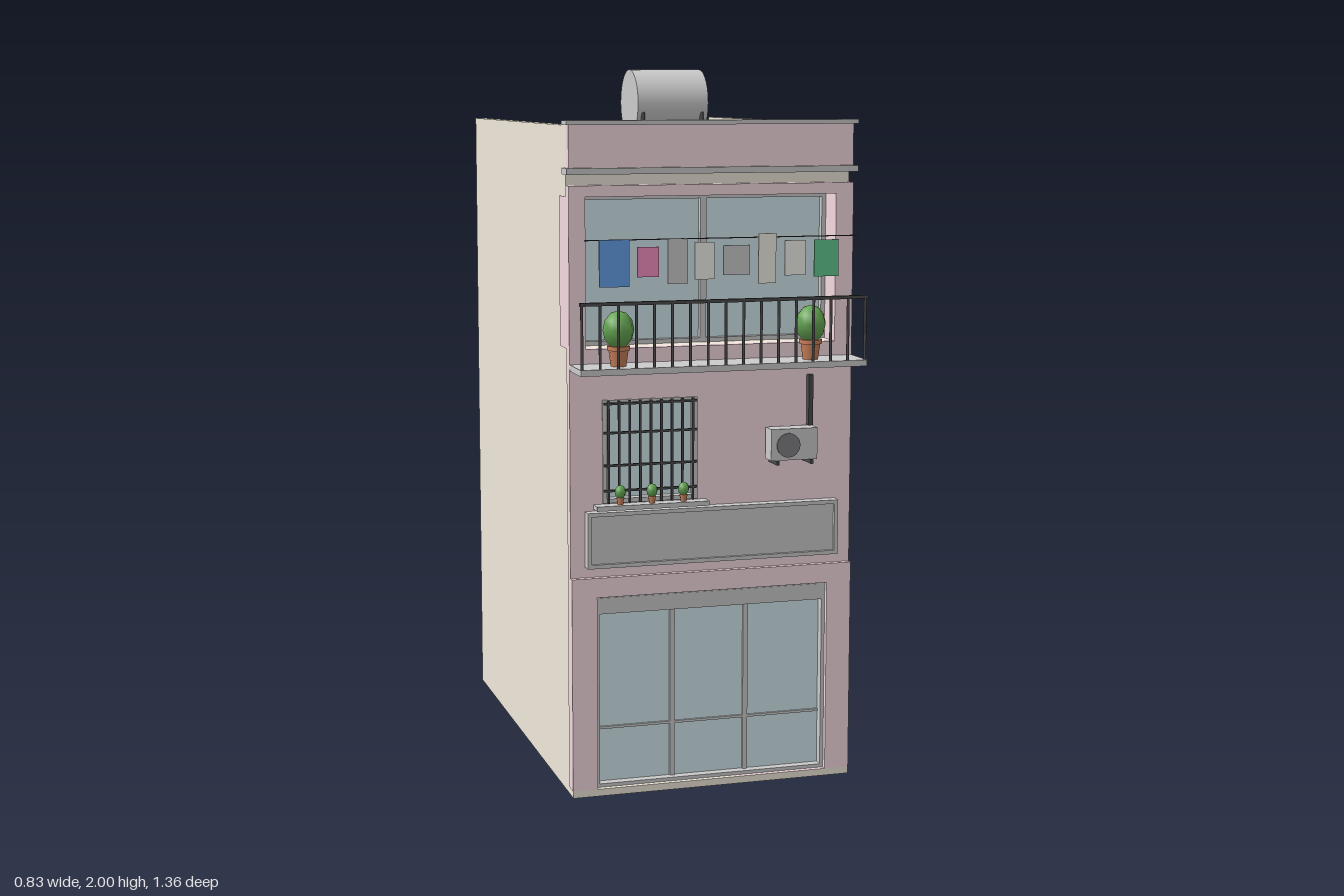
import * as THREE from 'three';

const mat = (color) => new THREE.MeshStandardMaterial({ color });
const GREY = mat(0xcccccc), DARK = mat(0x4a4a4c), BEIGE = mat(0xf0e8da), PINK = mat(0xf5dae0);
const GLASS = mat(0xd2e6ec), CLAY = mat(0xc9805a), LEAF = mat(0x64a552), FRAME = mat(0xbdbdbd);

export function createModel() {
  const root = new THREE.Group();
  root.name = 'townhouse';

  const add = (name, geo, material, x = 0, y = 0, z = 0, parent = root) => {
    const m = new THREE.Mesh(geo, material);
    m.name = name;
    m.position.set(x, y, z);
    parent.add(m);
    return m;
  };
  // Box given by its limits on each axis
  const box = (name, material, x0, x1, y0, y1, z0, z1, parent = root) =>
    add(name, new THREE.BoxGeometry(x1 - x0, y1 - y0, z1 - z0), material,
      (x0 + x1) / 2, (y0 + y1) / 2, (z0 + z1) / 2, parent);
  // Rectangular wall or frame with rectangular holes, each [x0, x1, y0, y1]
  const panel = (name, material, outer, holes, z0, z1) => {
    const trace = (p, [x0, x1, y0, y1]) =>
      p.moveTo(x0, y0).lineTo(x1, y0).lineTo(x1, y1).lineTo(x0, y1).closePath();
    const shape = trace(new THREE.Shape(), outer);
    shape.holes = holes.map((h) => trace(new THREE.Path(), h));
    return add(name, new THREE.ExtrudeGeometry(shape, { depth: z1 - z0, bevelEnabled: false }), material, 0, 0, z0);
  };
  const rim = ([x0, x1, y0, y1], t) => [x0 + t, x1 - t, y0 + t, y1 - t];

  // Main volume, set back behind the upper window
  box('lowerBody', BEIGE, -0.405, 0.405, 0, 1.25, -0.68, 0.53);
  box('upperBody', BEIGE, -0.405, 0.405, 1.25, 1.66, -0.68, 0.455);
  box('topBody', BEIGE, -0.405, 0.405, 1.66, 1.72, -0.68, 0.525);
  box('roofSlab', GREY, -0.376, 0.376, 1.72, 1.745, -0.682, 0.526);
  for (const s of [-1, 1]) {
    const a = s * 0.375, b = s * 0.405;
    box('sideParapet', BEIGE, Math.min(a, b), Math.max(a, b), 1.72, 1.85, -0.68, 0.53);
  }

  // Street front in pink plaster
  const door = [-0.335, 0.335, 0.02, 0.565];
  const barred = [-0.315, -0.045, 0.825, 1.11];
  const upper = [-0.36, 0.355, 1.25, 1.66];
  panel('groundFront', PINK, [-0.406, 0.406, 0.02, 0.62], [door], 0.529, 0.575);
  panel('middleFront', PINK, [-0.406, 0.406, 0.62, 1.25], [barred], 0.529, 0.56);
  panel('upperFront', PINK, [-0.406, 0.406, 1.25, 1.69], [upper], 0.529, 0.56);
  box('leftReveal', PINK, 0.355, 0.406, 1.25, 1.66, 0.454, 0.53);
  box('rightReveal', PINK, -0.406, -0.36, 1.25, 1.66, 0.454, 0.53);
  box('frontParapet', PINK, -0.405, 0.405, 1.735, 1.853, 0.526, 0.558);
  box('doorstep', BEIGE, -0.405, 0.405, 0, 0.02, 0.52, 0.575);
  box('lowerCornice', GREY, -0.414, 0.414, 1.72, 1.737, 0.515, 0.575);
  box('upperCornice', GREY, -0.414, 0.414, 1.851, 1.863, 0.515, 0.572);

  // Shop front
  box('shopGlass', GLASS, -0.33, 0.33, 0.02, 0.53, 0.528, 0.534);
  panel('shopFrame', FRAME, door, [rim(door, 0.01)], 0.53, 0.56);
  box('shutterBox', GREY, -0.325, 0.325, 0.515, 0.56, 0.53, 0.562);
  for (const x of [-0.11, 0.105]) box('shopMullion', FRAME, x - 0.007, x + 0.007, 0.02, 0.515, 0.53, 0.541);
  box('shopCrossbar', FRAME, -0.325, 0.325, 0.181, 0.188, 0.53, 0.54);

  // Blank sign board with raised rim
  const sign = [-0.365, 0.36, 0.65, 0.805];
  box('signBoard', GREY, ...sign, 0.558, 0.583);
  panel('signRim', GREY, sign, [rim(sign, 0.011)], 0.575, 0.592);

  // Upper window
  box('upperGlass', GLASS, -0.36, 0.355, 1.25, 1.66, 0.454, 0.461);
  panel('upperWindowFrame', FRAME, upper, [rim(upper, 0.012)], 0.457, 0.48);
  box('upperMullion', FRAME, -0.012, 0.006, 1.25, 1.66, 0.457, 0.477);

  // Barred window
  box('barredGlass', GLASS, ...barred, 0.528, 0.536);
  panel('barredFrame', FRAME, barred, [rim(barred, 0.012)], 0.53, 0.564);
  for (let i = 0; i < 9; i++) {
    const x = -0.3 + i * 0.03;
    box('windowBar', DARK, x - 0.003, x + 0.003, 0.825, 1.108, 0.566, 0.572);
  }
  for (const y of [0.86, 0.93, 1.02, 1.1])
    box('windowCrossbar', DARK, -0.312, -0.048, y - 0.003, y + 0.003, 0.564, 0.572);
  box('windowSill', GREY, -0.34, -0.02, 0.81, 0.823, 0.55, 0.597);

  // Potted plants: tapered pot with rim, and a rounded bush
  const plant = (x, y, z, s) => {
    const g = new THREE.Group();
    g.name = 'pottedPlant';
    g.position.set(x, y, z);
    g.scale.setScalar(s);
    root.add(g);
    add('pot', new THREE.CylinderGeometry(0.028, 0.021, 0.05, 10), CLAY, 0, 0.025, 0, g);
    add('potRim', new THREE.CylinderGeometry(0.031, 0.031, 0.012, 10), CLAY, 0, 0.049, 0, g);
    add('bush', new THREE.SphereGeometry(0.044, 8, 6), LEAF, 0, 0.098, 0, g).scale.y = 1.18;
  };
  plant(-0.285, 1.21, 0.62, 1);
  plant(0.262, 1.21, 0.62, 1);
  for (const x of [-0.27, -0.18, -0.09]) plant(x, 0.823, 0.58, 0.36);

  // Balcony
  box('balconySlab', GREY, -0.405, 0.405, 1.193, 1.21, 0.53, 0.682);
  box('handrail', DARK, -0.406, 0.406, 1.379, 1.388, 0.669, 0.681);
  for (let i = 0; i < 17; i++)
    add('baluster', new THREE.CylinderGeometry(0.004, 0.004, 0.17, 6), DARK, -0.4 + i * 0.05, 1.295, 0.675);

  // Washing line
  const line = add('washingLine', new THREE.CylinderGeometry(0.0015, 0.0015, 0.77, 5), DARK, 0, 1.55, 0.646);
  line.rotation.z = Math.PI / 2;
  const laundry = [
    [-0.345, -0.262, 1.425, 1.55, 0x66a0e8], [-0.24, -0.18, 1.45, 1.53, 0xf58fc2],
    [-0.155, -0.1, 1.43, 1.55, 0xcccccc], [-0.08, -0.025, 1.44, 1.54, 0xf0f0ea],
    [0, 0.075, 1.45, 1.53, 0xc4c4c4], [0.1, 0.15, 1.425, 1.56, 0xf2eee6],
    [0.175, 0.235, 1.445, 1.54, 0xf0f0ea], [0.26, 0.33, 1.44, 1.54, 0x60c890],
  ];
  for (const [x0, x1, y0, y1, c] of laundry) box('laundry', mat(c), x0, x1, y0, y1, 0.644, 0.649);

  // Air conditioner with fan, brackets and pipe
  box('airConditioner', GREY, 0.15, 0.285, 0.93, 1.018, 0.572, 0.621);
  const fan = add('fan', new THREE.CylinderGeometry(0.034, 0.034, 0.006, 20), mat(0x808084), 0.2, 0.972, 0.622);
  fan.rotation.x = Math.PI / 2;
  for (const x of [0.168, 0.267]) box('bracket', DARK, x - 0.004, x + 0.004, 0.918, 0.93, 0.56, 0.628);
  box('pipe', DARK, 0.274, 0.287, 1.0, 1.16, 0.56, 0.579);

  // Roof water tank on four legs
  const tank = add('waterTank', new THREE.CylinderGeometry(0.095, 0.095, 0.21, 28), GREY, 0, 1.905, 0.08);
  tank.rotation.z = Math.PI / 2;
  for (const x of [-0.088, 0.088]) for (const z of [-0.006, 0.166]) {
    add('tankLeg', new THREE.CylinderGeometry(0.006, 0.006, 0.14, 8), DARK, x, 1.813, z);
    add('tankFoot', new THREE.CylinderGeometry(0.011, 0.011, 0.006, 8), DARK, x, 1.748, z);
  }
  return root;
}
